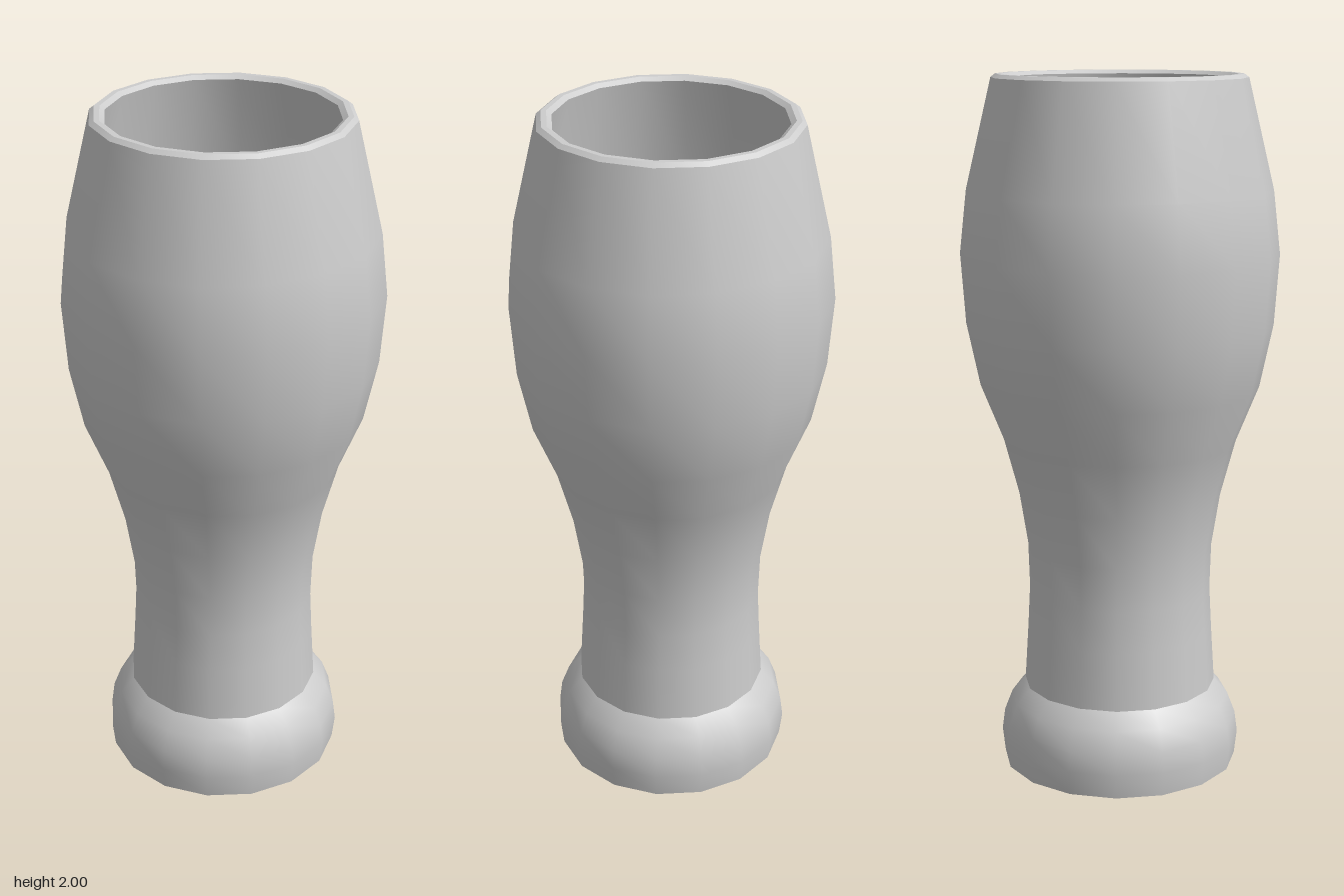
import * as THREE from 'three';

const SIDES = 16;

export function createModel() {
  const group = new THREE.Group();
  group.name = 'tumbler';

  const glass = new THREE.MeshStandardMaterial({ color: 0xcccccc });
  glass.name = 'light grey';

  // Each [radius, height] strip is smooth; edges between strips stay sharp.
  // Strips run up the outside, over the lip and down the inside.
  const ring = (name, profile) => {
    const points = profile.map(([r, y]) => new THREE.Vector2(r, y));
    const mesh = new THREE.Mesh(new THREE.LatheGeometry(points, SIDES), glass);
    mesh.name = name;
    group.add(mesh);
  };

  // Foot
  ring('footBase', [[0, 0], [0.343, 0]]);
  ring('foot', [[0.343, 0], [0.351, 0.07], [0.343, 0.13], [0.32, 0.19], [0.28, 0.235]]);

  // Outer wall
  ring('outerWall', [
    [0.28, 0.235], [0.27, 0.4], [0.264, 0.52], [0.268, 0.65], [0.292, 0.8],
    [0.335, 0.96], [0.4, 1.12], [0.438, 1.3], [0.452, 1.5], [0.432, 1.68], [0.358, 1.99],
  ]);

  // Chamfered lip
  ring('lipOuterBevel', [[0.358, 1.99], [0.345, 2]]);
  ring('lipTop', [[0.345, 2], [0.33, 2]]);
  ring('lipInnerBevel', [[0.33, 2], [0.316, 1.99]]);

  // Inner wall and floor
  ring('innerWall', [
    [0.316, 1.99], [0.388, 1.68], [0.408, 1.5], [0.395, 1.3], [0.357, 1.12],
    [0.292, 0.96], [0.248, 0.8], [0.224, 0.65], [0.22, 0.52], [0.222, 0.4], [0.226, 0.3],
  ]);
  ring('floorEdge', [[0.226, 0.3], [0.2, 0.25]]);
  ring('floor', [[0.2, 0.25], [0, 0.25]]);

  return group;
}
